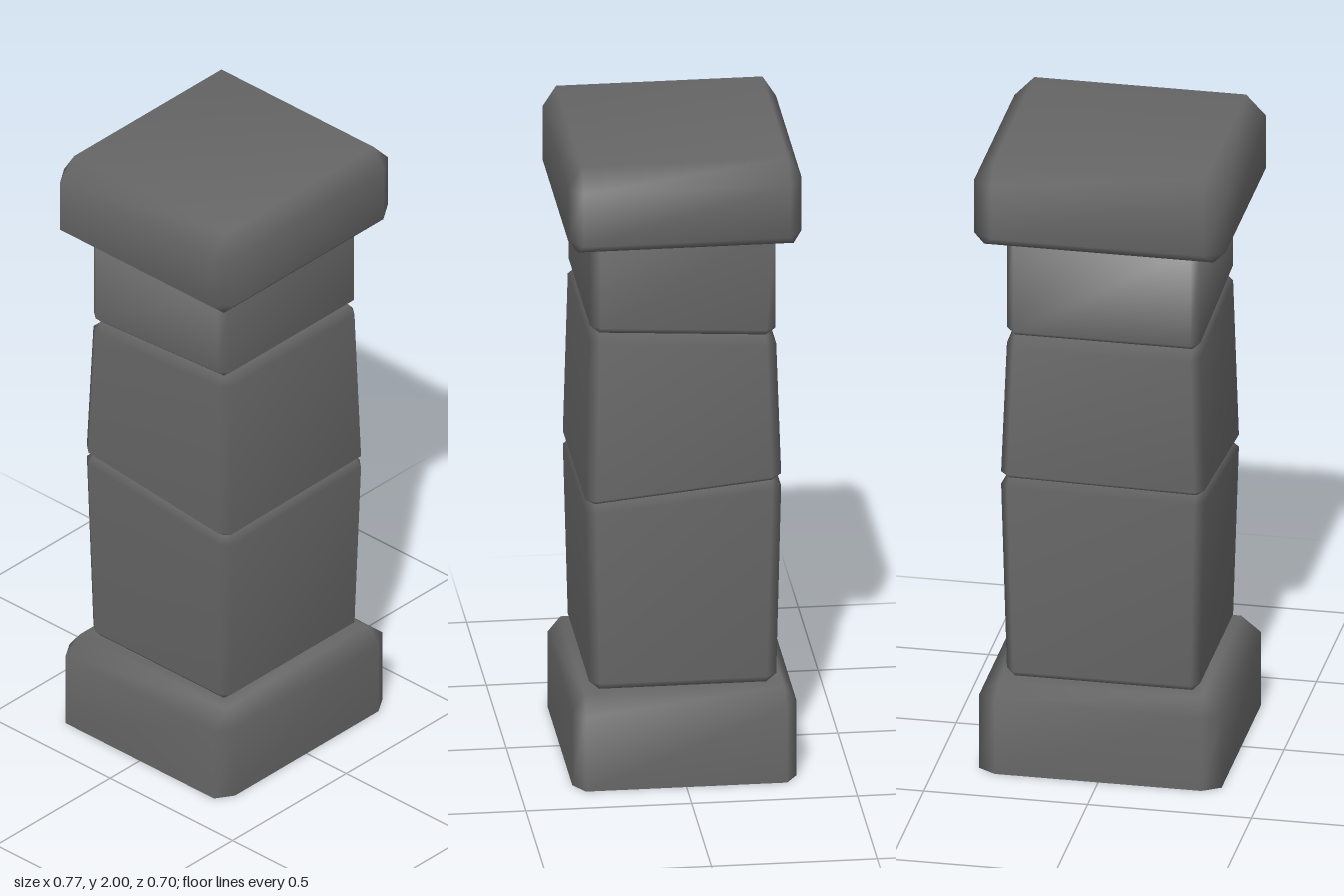
import * as THREE from 'three';
import { mergeVertices } from 'three/addons/utils/BufferGeometryUtils.js';

// Smooth-shaded block from rectangular sections with cut corners.
// Section: { y, x, z: half sizes, cx, cz: corner cut, tx, tz: slope of the section }
function loft(sections, capBottom = true, capTop = true) {
  const pos = [], idx = [];
  for (const { y, x, z, cx = 0, cz = 0, tx = 0, tz = 0 } of sections) {
    const ring = [
      [x, z - cz], [x, -z + cz], [x - cx, -z], [-x + cx, -z],
      [-x, -z + cz], [-x, z - cz], [-x + cx, z], [x - cx, z],
    ];
    for (const [px, pz] of ring) pos.push(px, y + tx * px + tz * pz, pz);
  }
  const last = (sections.length - 1) * 8;
  for (let b = 0; b < last; b += 8) {
    for (let i = 0; i < 8; i++) {
      const j = (i + 1) % 8;
      idx.push(b + i, b + j, b + 8 + j, b + i, b + 8 + j, b + 8 + i);
    }
  }
  for (let i = 1; i < 7; i++) {
    if (capBottom) idx.push(0, i + 1, i);
    if (capTop) idx.push(last, last + i, last + i + 1);
  }
  const raw = new THREE.BufferGeometry();
  raw.setAttribute('position', new THREE.Float32BufferAttribute(pos, 3));
  raw.setIndex(idx);
  const geo = mergeVertices(raw, 1e-5);
  geo.computeVertexNormals();
  return geo;
}

export function createModel() {
  const group = new THREE.Group();
  const stone = new THREE.MeshStandardMaterial({ color: 0x666666, side: THREE.DoubleSide });
  stone.name = 'grey stone';
  const add = (name, geo) => {
    const mesh = new THREE.Mesh(geo, stone);
    mesh.name = name;
    group.add(mesh);
  };

  // Hollow plinth, open underneath
  add('base', loft([
    { y: 0, x: 0.37, z: 0.338, cx: 0.055, cz: 0.035 },
    { y: 0.24, x: 0.37, z: 0.338, cx: 0.055, cz: 0.035 },
    { y: 0.29, x: 0.31, z: 0.3 },
    { y: 0.29, x: 0.26, z: 0.245 },
  ], false, false));

  // Sloping joints between the shaft blocks
  const low = { tx: 0.015, tz: -0.1 }, high = { tz: 0.06 };
  const cut = { cx: 0.025, cz: 0.03 };

  add('lowerBlock', loft([
    { y: 0.288, x: 0.27, z: 0.25 },
    { y: 0.315, x: 0.295, z: 0.282, ...cut },
    { y: 0.892, x: 0.31, z: 0.295, ...cut, ...low },
    { y: 0.915, x: 0.285, z: 0.265, ...low },
  ]));
  add('middleBlock', loft([
    { y: 0.915, x: 0.285, z: 0.265, ...low },
    { y: 0.932, x: 0.31, z: 0.295, ...cut, ...low },
    { y: 1.397, x: 0.295, z: 0.282, ...cut, ...high },
    { y: 1.425, x: 0.27, z: 0.25, ...high },
  ]));
  add('upperBlock', loft([
    { y: 1.425, x: 0.27, z: 0.25, ...high },
    { y: 1.448, x: 0.295, z: 0.28, ...cut, ...high },
    { y: 1.745, x: 0.295, z: 0.28, ...cut },
  ]));

  // Overhanging cap
  const capCut = { cx: 0.06, cz: 0.04 };
  add('cap', loft([
    { y: 1.735, x: 0.35, z: 0.325 },
    { y: 1.765, x: 0.384, z: 0.352, ...capCut },
    { y: 1.935, x: 0.384, z: 0.352, ...capCut },
    { y: 2, x: 0.323, z: 0.311 },
  ]));

  return group;
}
